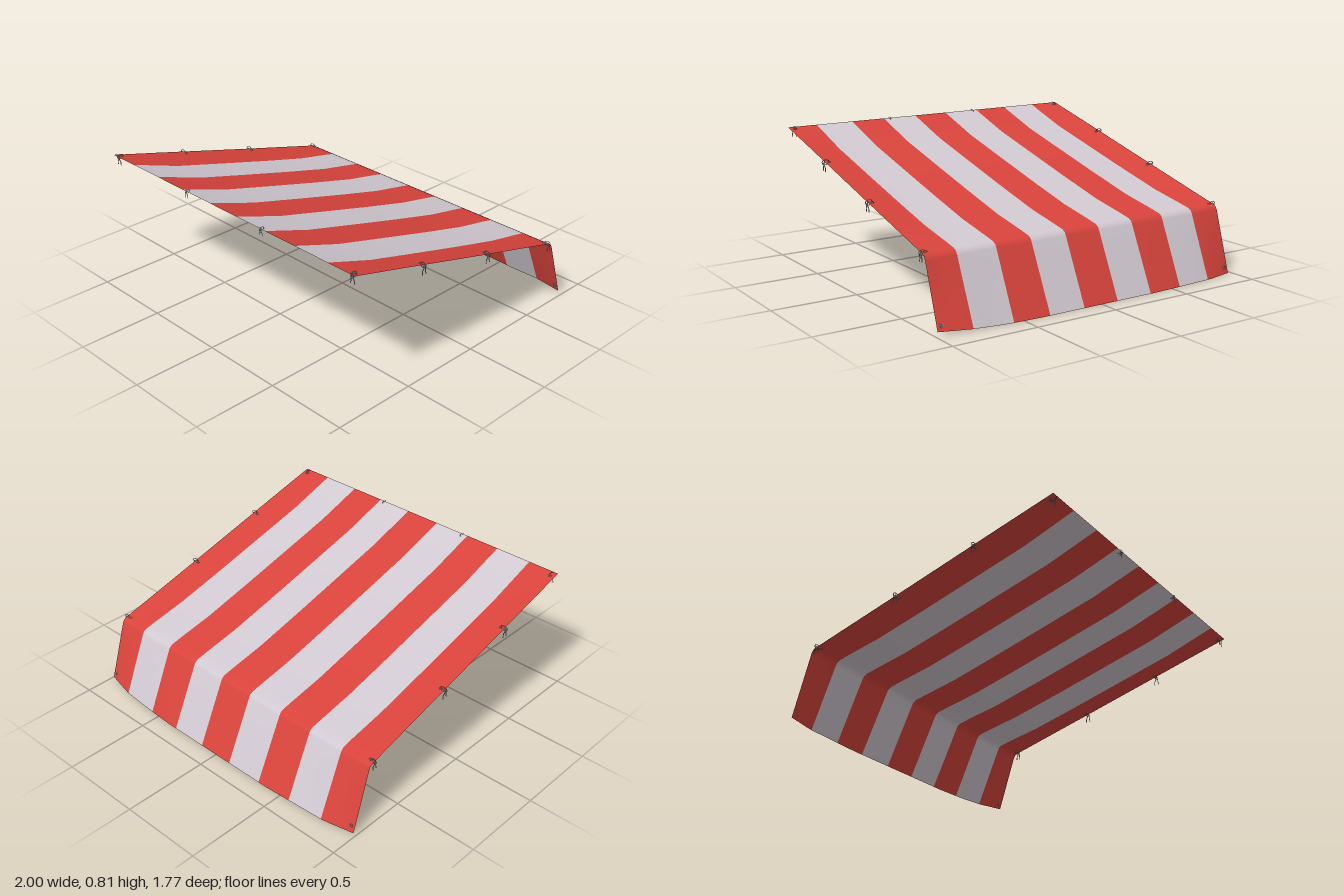
import * as THREE from 'three';

const HALF = 0.98;
// stripe borders across the width, red first
const STRIPES = [-HALF, -0.785, -0.56, -0.34, -0.107, 0.117, 0.34, 0.56, 0.795, HALF];
// side profile of the roof: z, height, sag of the middle
const ROOF = [[0.88, 0.805, 0], [0.58, 0.725, 0.023], [0.24, 0.633, 0.023], [-0.1, 0.541, 0.022],
  [-0.4, 0.461, 0.019], [-0.62, 0.402, 0.003], [-0.685, 0.385, 0], [-0.705, 0.374, 0], [-0.716, 0.355, 0]];
const FLAP_ROWS = 4;

function makeMaterial(name, color, side = THREE.FrontSide) {
  const m = new THREE.MeshStandardMaterial({ color, side });
  m.name = name;
  return m;
}

// lower hem of the back flap: it curls forward at both corners
function hem(x) {
  const a = Math.abs(x);
  const curl = a < 0.4 ? 0 : a < 0.8 ? (a - 0.4) / 0.4 * 0.021 : 0.021 + (a - 0.8) / 0.18 * 0.038;
  return { z: -0.886 + curl, y: x > 0.6 ? (x - 0.6) * 0.045 : 0 };
}

function sheetPoint(x, row) {
  const slack = Math.min(1, (HALF - Math.abs(x)) / 0.19);
  if (row < ROOF.length) {
    const [z, y, sag] = ROOF[row];
    return [x, y - sag * slack, z];
  }
  const [z0, y0] = ROOF[ROOF.length - 1];
  const t = (row - ROOF.length + 1) / FLAP_ROWS;
  const h = hem(x);
  return [x, y0 + (h.y - y0) * t, z0 + (h.z - z0) * t];
}

// one continuous cloth, with a material group for every stripe
function clothGeometry() {
  const perStripe = 4, rows = ROOF.length + FLAP_ROWS;
  const xs = [STRIPES[0]];
  for (let s = 0; s < STRIPES.length - 1; s++)
    for (let k = 1; k <= perStripe; k++)
      xs.push(THREE.MathUtils.lerp(STRIPES[s], STRIPES[s + 1], k / perStripe));
  const pos = [], index = [];
  for (const x of xs) for (let r = 0; r < rows; r++) pos.push(...sheetPoint(x, r));
  const geo = new THREE.BufferGeometry();
  for (let i = 0; i < xs.length - 1; i++) {
    if (i % perStripe === 0)
      geo.addGroup(index.length, perStripe * (rows - 1) * 6, (i / perStripe) % 2);
    for (let r = 0; r < rows - 1; r++) {
      const a = i * rows + r, b = a + rows;
      index.push(a, b, a + 1, b, b + 1, a + 1);
    }
  }
  geo.setAttribute('position', new THREE.Float32BufferAttribute(pos, 3));
  geo.setIndex(index);
  geo.computeVertexNormals();
  return geo;
}

export function createModel() {
  const red = makeMaterial('red cloth', 0xd9443c, THREE.DoubleSide);
  const white = makeMaterial('white cloth', 0xd2cad2, THREE.DoubleSide);
  const cord = makeMaterial('grey cord', 0xb8b8ba);

  const model = new THREE.Group();
  model.name = 'awning';
  const cloth = new THREE.Mesh(clothGeometry(), [red, white]);
  cloth.name = 'stripedCloth';
  model.add(cloth);

  const tube = (pts) => new THREE.TubeGeometry(
    new THREE.CatmullRomCurve3(pts.map((p) => new THREE.Vector3(...p))), 8, 0.0025, 5);

  // cord looped over a hem, with two loose tails; local +x points outward
  const loopGeo = new THREE.TorusGeometry(0.021, 0.0025, 5, 14);
  loopGeo.scale(1, 0.7, 1);
  const tailGeos = [-1, 1].map((s) => tube([[0.004, 0.004, 0], [0.012, -0.012, s * 0.006],
    [0.007, -0.032, s * 0.011], [0.009, -0.052, s * 0.014]]));
  function addTie(x, y, z, turn, size = 1) {
    const tie = new THREE.Group();
    tie.name = 'tieCord';
    const loop = new THREE.Mesh(loopGeo, cord);
    loop.name = 'cordLoop';
    tie.add(loop);
    for (const g of tailGeos) {
      const tail = new THREE.Mesh(g, cord);
      tail.name = 'cordTail';
      tie.add(tail);
    }
    tie.position.set(x, y, z);
    tie.rotation.y = turn;
    tie.scale.setScalar(size);
    model.add(tie);
  }

  // eyelet ring lying in the cloth
  const eyeletGeo = new THREE.TorusGeometry(0.009, 0.003, 5, 12);
  function addEyelet(x, y, z, tilt) {
    const ring = new THREE.Mesh(eyeletGeo, cord);
    ring.name = 'eyelet';
    ring.position.set(x, y, z);
    ring.rotation.x = tilt;
    model.add(ring);
  }

  for (const s of [-1, 1]) {
    const outward = s > 0 ? 0 : Math.PI;
    // side ties
    addTie(s * 0.976, 0.672, 0.39, outward);
    addTie(s * 0.976, 0.537, -0.125, outward);
    addTie(s * 0.976, 0.388, -0.68, outward, 0.9);
    // front hem ties
    addTie(s * 0.95, 0.797, 0.857, -Math.PI / 2, 0.95);
    addTie(s * 0.305, 0.802, 0.872, -Math.PI / 2, 0.7);
    // eyelets at the roof and flap corners
    addEyelet(s * 0.95, 0.797, 0.85, Math.PI / 2 + 0.26);
    addEyelet(s * 0.955, s > 0 ? 0.045 : 0.035, -0.822, 0.33);
    for (const [y, z] of [[0.67, 0.39], [0.533, -0.125], [0.388, -0.675]])
      addEyelet(s * 0.957, y, z, Math.PI / 2 + 0.26);
  }
  return model;
}
